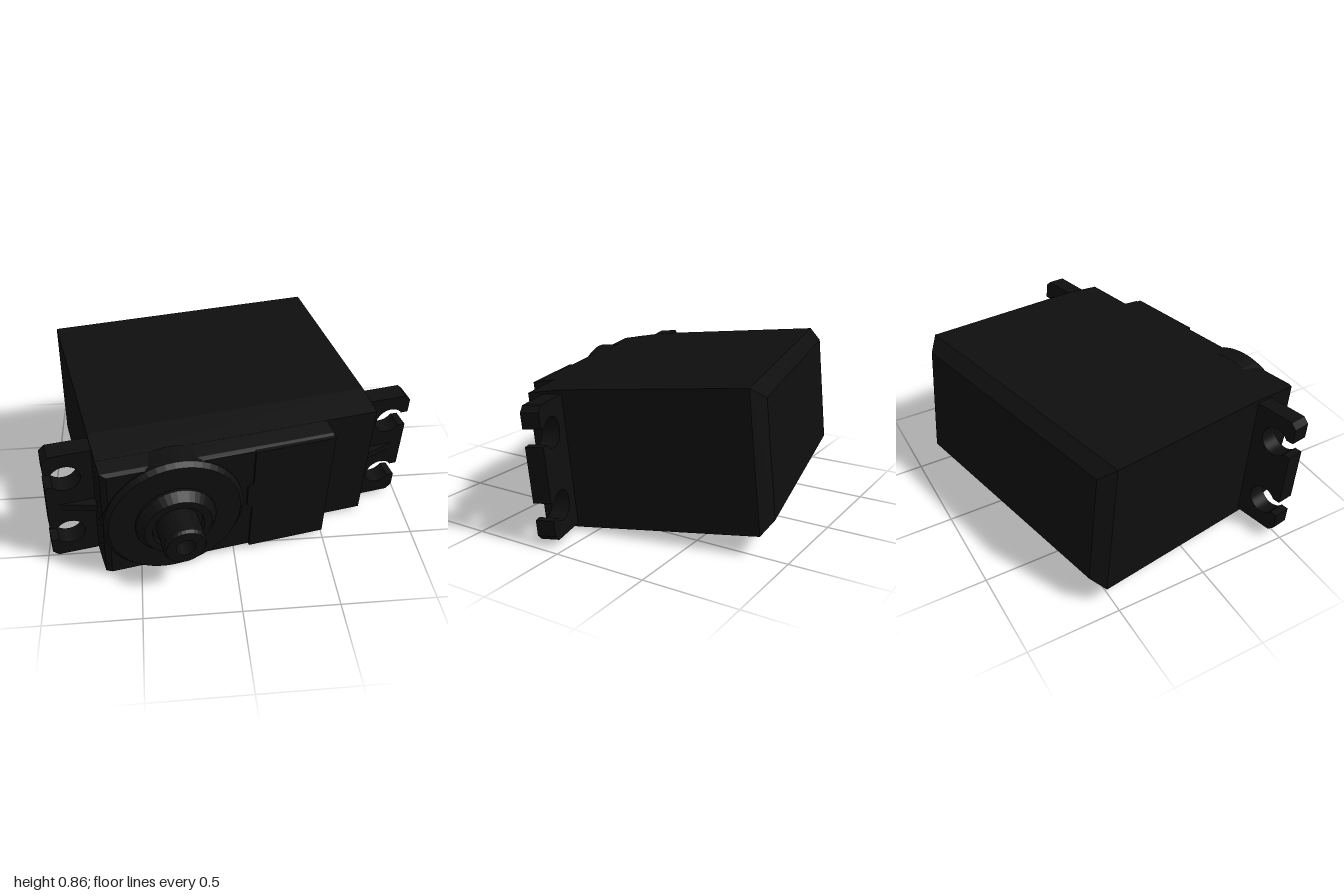
import * as THREE from 'three';

// Stack of rectangular sections [z, x0, x1, halfHeight] joined into a flat-faced solid
function loftBox(sections) {
  const pos = [];
  const ring = ([z, x0, x1, h]) => [[x0, -h, z], [x1, -h, z], [x1, h, z], [x0, h, z]];
  const quad = (a, b, c, d) => pos.push(...a, ...b, ...c, ...a, ...c, ...d);
  const rings = sections.map(ring);
  for (let i = 0; i < rings.length - 1; i++) {
    for (let k = 0; k < 4; k++) {
      const n = (k + 1) % 4;
      quad(rings[i][k], rings[i][n], rings[i + 1][n], rings[i + 1][k]);
    }
  }
  const b = rings[0], f = rings[rings.length - 1];
  quad(b[3], b[2], b[1], b[0]);
  quad(f[0], f[1], f[2], f[3]);
  const g = new THREE.BufferGeometry();
  g.setAttribute('position', new THREE.Float32BufferAttribute(pos, 3));
  g.computeVertexNormals();
  return g;
}

// Extruded outline between two depths
function plate(shape, z0, z1) {
  const g = new THREE.ExtrudeGeometry(shape, { depth: z1 - z0, bevelEnabled: false, curveSegments: 20 });
  return g.translate(0, 0, z0);
}

// Turned part around the output axis, profile given as [radius, z]
function turned(profile, segments) {
  const g = new THREE.LatheGeometry(profile.map(([r, z]) => new THREE.Vector2(r, z)), segments);
  return g.rotateX(Math.PI / 2).toNonIndexed();
}

export function createModel() {
  const model = new THREE.Group();
  const black = new THREE.MeshStandardMaterial({ color: 0x0e0e0e });
  black.name = 'black plastic';

  const servo = new THREE.Group();
  servo.name = 'servoMotor';
  // The whole unit rests slightly turned and tipped forward
  servo.rotation.set(0.098, 0.21, -0.01, 'YXZ');
  servo.position.y = 0.424;
  model.add(servo);

  const inner = new THREE.Group();
  inner.name = 'assembly';
  inner.position.x = -0.063;
  servo.add(inner);

  const add = (name, geometry) => {
    geometry.computeVertexNormals();
    const m = new THREE.Mesh(geometry, black);
    m.name = name;
    inner.add(m);
    return m;
  };

  // Case with chamfered back and slightly drafted front
  add('case', loftBox([
    [-0.759, -0.685, 0.685, 0.305],
    [-0.695, -0.749, 0.749, 0.367],
    [0.27, -0.749, 0.749, 0.367],
    [0.46, -0.747, 0.747, 0.352],
  ]));

  // Raised gear housing on the front
  add('gearHousing', loftBox([
    [0.45, -0.747, 0.463, 0.352],
    [0.55, -0.744, 0.463, 0.344],
    [0.574, -0.715, 0.463, 0.335],
  ]));

  // Cover panel with a notched left edge
  const panel = new THREE.Shape();
  [[0.035, -0.338], [0.463, -0.338], [0.463, 0.338], [0.035, 0.338], [0.035, 0.13],
    [0.005, 0.1], [0.005, -0.02], [0.035, -0.05]]
    .forEach(([x, y], i) => (i ? panel.lineTo(x, y) : panel.moveTo(x, y)));
  add('coverPanel', plate(panel, 0.56, 0.588));

  // Mounting ears with open keyhole slots
  const ear = new THREE.Shape();
  ear.moveTo(0.7, -0.347);
  ear.lineTo(0.963, -0.347);
  ear.lineTo(0.993, -0.317);
  for (const y of [-0.19, 0.19]) {
    ear.lineTo(0.993, y - 0.045);
    ear.absarc(0.889, y, 0.078, -0.6, 0.6, true);
    ear.lineTo(0.993, y + 0.045);
  }
  ear.lineTo(0.993, 0.317);
  ear.lineTo(0.963, 0.347);
  ear.lineTo(0.7, 0.347);

  // Small triangular gusset in front of each ear
  const rib = new THREE.Shape();
  rib.moveTo(0.74, 0.36);
  rib.lineTo(0.97, 0.36);
  rib.lineTo(0.74, 0.43);

  for (const [side, turn] of [['left', 0], ['right', Math.PI]]) {
    add(side + 'MountingEar', plate(ear, 0.272, 0.372)).rotation.z = turn;
    const ribGeometry = plate(rib, -0.02, 0.02).rotateX(Math.PI / 2).scale(1, 1, 1);
    add(side + 'EarRib', ribGeometry).rotation.z = turn;
  }

  // Output side: round boss, bearing collar and hollow shaft
  const output = [
    ['outputBoss', [[0.366, 0.46], [0.366, 0.58], [0.345, 0.605], [0, 0.605]], 48],
    ['bearingCollar', [[0.21, 0.59], [0.21, 0.62], [0.175, 0.668], [0.135, 0.668], [0.13, 0.64], [0, 0.64]], 40],
    ['outputShaft', [[0.11, 0.6], [0.11, 0.79], [0.1, 0.805], [0.05, 0.805], [0.05, 0.7], [0, 0.7]], 32],
  ];
  for (const [name, profile, segments] of output) {
    // Lathe runs front to back so that faces point outward
    add(name, turned(profile, segments)).position.x = -0.382;
  }
  return model;
}
